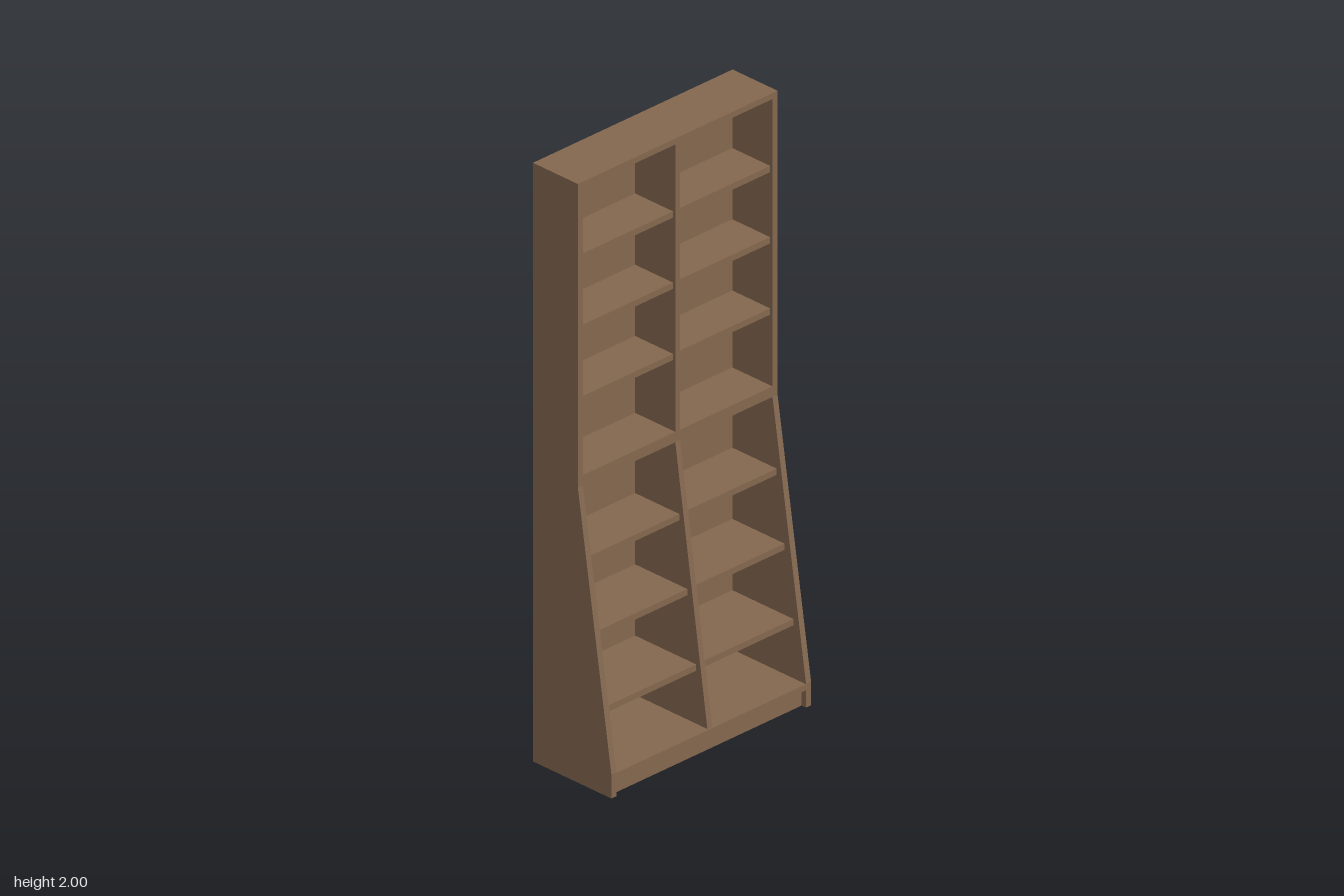
import * as THREE from 'three';

export function createModel() {
  const model = new THREE.Group();
  model.name = 'bookcase';
  const wood = new THREE.MeshStandardMaterial({ color: 0x866950 });
  wood.name = 'brown wood';

  const BACK = -0.165, INNER_BACK = -0.145, UPPER = 0.023, LOWER = 0.163;
  const KNEE = 0.985, FOOT = 0.08, HALF = 0.415, T = 0.021;

  // Board spanning the given ranges
  function board(name, x0, x1, y0, y1, z0, z1) {
    const mesh = new THREE.Mesh(new THREE.BoxGeometry(x1 - x0, y1 - y0, z1 - z0), wood);
    mesh.position.set((x0 + x1) / 2, (y0 + y1) / 2, (z0 + z1) / 2);
    mesh.name = name;
    model.add(mesh);
  }

  // Upright cut from a side profile of [z, y] points, extruded along x
  function upright(name, x0, thickness, profile) {
    const shape = new THREE.Shape(profile.map(([z, y]) => new THREE.Vector2(-z, y)));
    const geo = new THREE.ExtrudeGeometry(shape, { depth: thickness, bevelEnabled: false });
    geo.rotateY(Math.PI / 2);
    geo.translate(x0, 0, 0);
    const mesh = new THREE.Mesh(geo, wood);
    mesh.name = name;
    model.add(mesh);
  }

  // Side panels with the sloping lower front
  const side = [[BACK, 0], [LOWER, 0], [LOWER, FOOT], [UPPER, KNEE], [UPPER, 2], [BACK, 2]];
  upright('leftSide', HALF - T, T, side);
  upright('rightSide', -HALF, T, side);

  // Centre divider, in two lengths
  upright('lowerDivider', -0.01, 0.02,
    [[INNER_BACK, 0.078], [0.157, 0.078], [UPPER, KNEE], [INNER_BACK, KNEE]]);
  board('upperDivider', -0.01, 0.01, 1.02, 1.98, INNER_BACK, UPPER);

  // Carcass boards between the sides
  const W = HALF - T;
  board('backPanel', -W, W, 0, 2, BACK, INNER_BACK);
  board('topBoard', -W, W, 1.98, 2, INNER_BACK, UPPER);
  board('middleBoard', -W, W, KNEE, 1.02, INNER_BACK, UPPER);
  board('bottomBoard', -W, W, 0.058, 0.078, INNER_BACK, LOWER);
  board('plinth', -W, W, 0, 0.058, INNER_BACK, 0.145);

  // Shelves on both sides of the divider: [underside height, front edge]
  const shelves = [
    [0.255, 0.11], [0.493, 0.073], [0.731, 0.04],
    [1.256, 0.013], [1.494, 0.013], [1.732, 0.013],
  ];
  for (const [y, front] of shelves) {
    board('leftShelf', 0.01, W, y, y + 0.021, INNER_BACK, front);
    board('rightShelf', -W, -0.01, y, y + 0.021, INNER_BACK, front);
  }
  return model;
}
